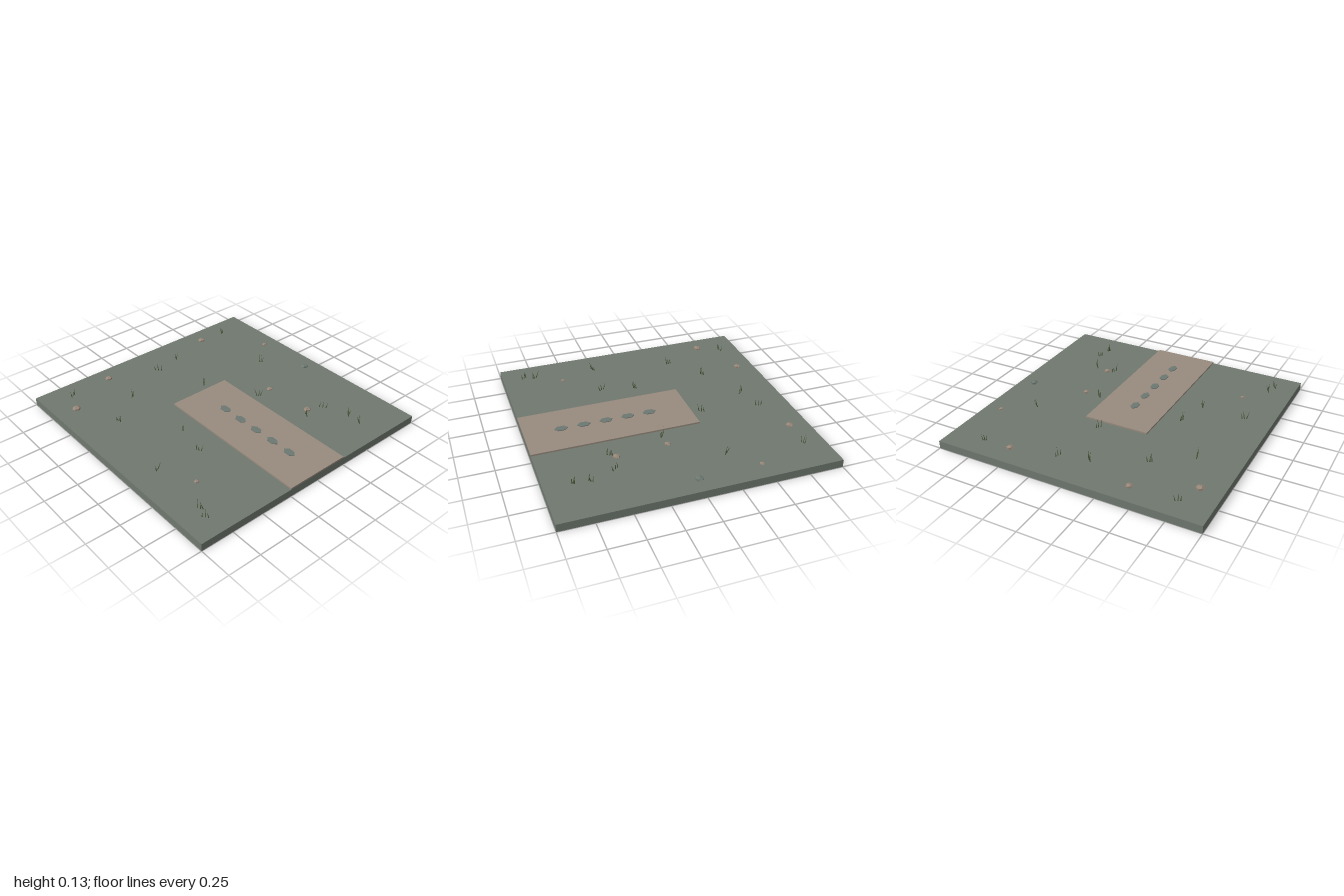
import * as THREE from 'three';

const GROUND_Y = 0.058;
const PATH_Y = 0.07;

function material(name, color) {
  const m = new THREE.MeshStandardMaterial({ color, flatShading: true });
  m.name = name;
  return m;
}

function part(parent, name, geometry, mat, x, y, z) {
  const mesh = new THREE.Mesh(geometry, mat);
  mesh.name = name;
  mesh.position.set(x, y, z);
  parent.add(mesh);
  return mesh;
}

function seeded(seed) {
  return () => {
    seed = (seed * 16807) % 2147483647;
    return seed / 2147483647;
  };
}

export function createModel() {
  const model = new THREE.Group();
  model.name = 'groundTile';
  const random = seeded(71);

  const soil = material('greyGreenGround', 0x6f786f);
  const dirt = material('brownPath', 0x988b7e);
  const slate = material('slateStone', 0x6d7872);
  const pebble = material('brownRock', 0x988779);
  const grass = material('oliveGrass', 0x4f5a3c);

  // Ground slab and raised path
  part(model, 'ground', new THREE.BoxGeometry(2, GROUND_Y, 2), soil, 0, GROUND_Y / 2, 0);
  part(model, 'path', new THREE.BoxGeometry(0.5, PATH_Y - GROUND_Y, 1.25), dirt,
    0, (PATH_Y + GROUND_Y) / 2, 0.375);

  // Hexagonal stepping stones along the path
  const stepGeometry = new THREE.CylinderGeometry(1, 1, 0.008, 6);
  for (let i = 0; i < 5; i++) {
    const step = part(model, 'steppingStone', stepGeometry, slate, 0, PATH_Y + 0.001, 0.055 + i * 0.168);
    step.scale.set(0.031, 1, 0.05);
  }

  // Flattened rocks: x, z, radius
  const rocks = [
    [-0.84, -0.67, 0.031], [-0.43, -0.86, 0.027], [0.503, -0.848, 0.028], [0.866, -0.45, 0.019],
    [0.435, 0.07, 0.023], [0.46, 0.45, 0.027], [-0.675, 0.55, 0.018], [0.88, 0.01, 0.03],
  ];
  const rockGeometry = new THREE.DodecahedronGeometry(1);
  rocks.forEach(([x, z, r], i) => {
    const rock = part(model, 'rock', rockGeometry, i === 7 ? slate : pebble, x, GROUND_Y + 0.013, z);
    rock.scale.set(r, r * 0.5, r);
  });

  // Grass tufts: centre x, z and the half spread of each row of blades
  const tufts = [
    [-0.765, -0.845, 0.02, -0.01], [-0.05, -0.715, 0.02, 0.02], [0.165, -0.765, 0.008, -0.022],
    [0.725, -0.84, 0.014, -0.007], [-0.42, -0.545, 0.016, -0.01], [-0.68, -0.35, 0.004, 0.02],
    [0.1, -0.325, 0.014, -0.02], [0.665, -0.275, 0.012, 0.01], [-0.39, 0.04, 0.008, -0.01],
    [0.32, 0.07, 0.012, 0.01], [-0.79, 0.275, 0.018, -0.01], [-0.45, 0.295, 0.01, 0.02],
    [0.415, 0.485, 0.01, -0.02], [0.58, 0.495, 0.02, 0.025], [0.655, 0.685, 0.014, -0.015],
    [0.64, 0.8, 0.006, -0.01], [-0.81, 0.755, 0.012, 0.02], [-0.835, 0.835, 0.015, 0.02],
  ];
  const bladeGeometry = new THREE.ConeGeometry(0.0045, 1, 4).translate(0, 0.5, 0);
  for (const [x, z, dx, dz] of tufts) {
    const tuft = new THREE.Group();
    tuft.name = 'grassTuft';
    tuft.position.set(x, GROUND_Y, z);
    for (const t of [-0.8, 0, 0.8]) {
      const blade = part(tuft, 'grassBlade', bladeGeometry, grass, dx * t, 0, dz * t);
      blade.scale.y = 0.045 + random() * 0.028;
      blade.rotation.set((random() - 0.5) * 0.6, 0, (random() - 0.5) * 0.6);
    }
    model.add(tuft);
  }
  return model;
}
